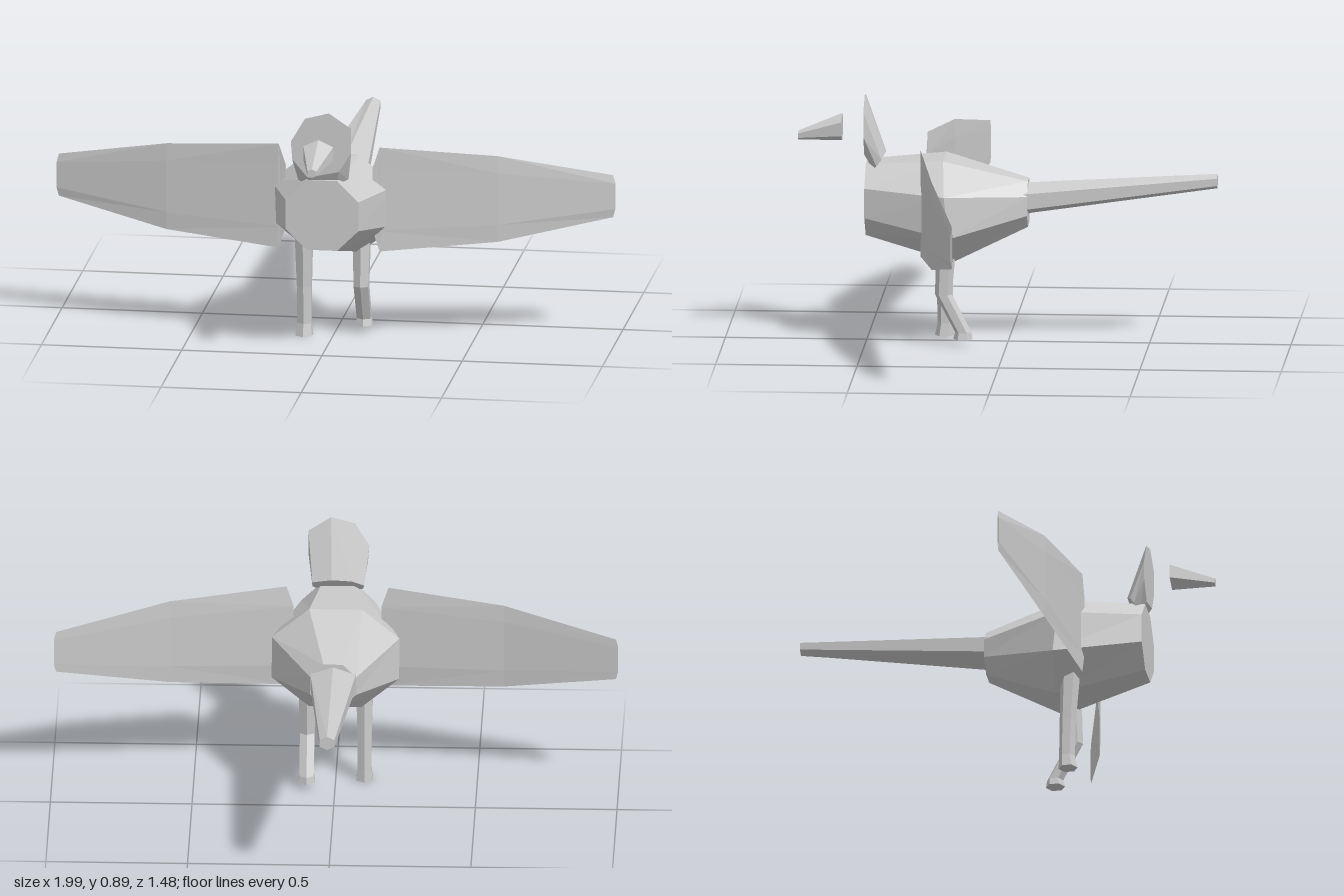
import * as THREE from 'three';

// Skins a closed, capped solid through rings of [x, y, z] points, facing outward.
function loft(rings) {
  const tris = [];
  const n = rings[0].length;
  for (let r = 0; r < rings.length - 1; r++) {
    for (let i = 0; i < n; i++) {
      const j = (i + 1) % n;
      const a = rings[r][i], b = rings[r][j], c = rings[r + 1][j], d = rings[r + 1][i];
      tris.push([a, b, c], [a, c, d]);
    }
  }
  const first = rings[0], last = rings[rings.length - 1];
  for (let i = 1; i < n - 1; i++) {
    tris.push([first[0], first[i + 1], first[i]], [last[0], last[i], last[i + 1]]);
  }
  // signed volume tells whether the winding must be reversed
  const v = (p) => new THREE.Vector3(...p);
  let volume = 0;
  for (const [a, b, c] of tris) volume += v(a).dot(v(b).cross(v(c)));
  if (volume < 0) tris.forEach((t) => t.reverse());
  const geometry = new THREE.BufferGeometry();
  geometry.setAttribute('position', new THREE.Float32BufferAttribute(tris.flat(2), 3));
  geometry.computeVertexNormals();
  return geometry;
}

// Regular polygon of n unit points, starting at the given angle.
function polygon(n, start) {
  return Array.from({ length: n }, (_, i) => {
    const a = start + (i / n) * Math.PI * 2;
    return [Math.cos(a), Math.sin(a)];
  });
}

export function createModel() {
  const bird = new THREE.Group();
  bird.name = 'bird';
  const grey = new THREE.MeshStandardMaterial({ color: 0xcccccc, flatShading: true });
  grey.name = 'plain grey';

  const add = (name, rings) => {
    const mesh = new THREE.Mesh(loft(rings), grey);
    mesh.name = name;
    bird.add(mesh);
  };

  // Rings across z: [z, centre y, half width, half height, lean]
  const alongZ = (shape, stations) => stations.map(([z, y, w, h, lean = 0]) =>
    shape.map(([u, v]) => [u * w, y + v * h, z + v * lean]));

  // Body: octagonal barrel with flat top
  const k = 1 / Math.cos(Math.PI / 8);
  add('body', alongZ(polygon(8, Math.PI / 8), [
    [0.5, 0.5125, 0.13 * k, 0.1275 * k],
    [0.205, 0.48, 0.225 * k, 0.18 * k, 0.02],
    [-0.072, 0.5, 0.082 * k, 0.082 * k],
  ]));

  // Tail and beak: tapering six-sided prisms with a ridge on top
  const hex = polygon(6, Math.PI / 2);
  const c = 1 / Math.cos(Math.PI / 6);
  add('tail', alongZ(hex, [[-0.06, 0.515, 0.081 * c, 0.056], [-0.74, 0.585, 0.026 * c, 0.026]]));
  add('beak', alongZ(hex, [[0.587, 0.763, 0.053 * c, 0.049], [0.742, 0.731, 0.016 * c, 0.016]]));

  // Neck and head: wedge rising from the body to an upright face
  const face = [[-0.11, 0.78], [-0.06, 0.865], [0.025, 0.888], [0.105, 0.835],
    [0.105, 0.745], [0.06, 0.675], [-0.05, 0.65], [-0.105, 0.715]];
  add('head', [
    face.map(([x, y]) => [x * 0.85, 0.645 + (y - 0.77) * 0.27, 0.455 - (y - 0.77) * 0.2]),
    face.map(([x, y]) => [x, y, 0.505]),
  ]);

  // Wings: very thin tapered blades swept back, [x, z, centre y, half height, edge inset]
  const blade = [[0, 1], [1, 0.6], [1, -0.6], [0, -1], [-1, -0.6], [-1, 0.6]];
  const wingStations = [
    [0.155, 0.297, 0.523, 0.19, -0.025],
    [0.59, 0.23, 0.523, 0.157, 0],
    [0.996, 0.132, 0.523, 0.077, 0.008],
  ];
  for (const side of [1, -1]) {
    add(side > 0 ? 'leftWing' : 'rightWing', wingStations.map(([x, z, y, h, inset]) =>
      blade.map(([t, v]) => [side * (x - (t === 0 ? inset : 0)) - 0.004, y + v * h, z + t * 0.003])));
  }

  // Legs: six-sided, one straight and one bent back; stations are [y, z, radius]
  const legShape = polygon(6, Math.PI / 2);
  const leg = (name, x, stations) => add(name, stations.map(([y, z, r]) =>
    legShape.map(([u, v]) => [x + u * r, y, z + v * r])));
  leg('rightLeg', -0.102, [[0.36, 0.24, 0.035], [0.18, 0.231, 0.029], [0.045, 0.228, 0.028], [0, 0.232, 0.034]]);
  leg('leftLeg', 0.1, [[0.36, 0.212, 0.035], [0.185, 0.222, 0.03], [0.05, 0.152, 0.029], [0.025, 0.153, 0.034]]);

  return bird;
}
